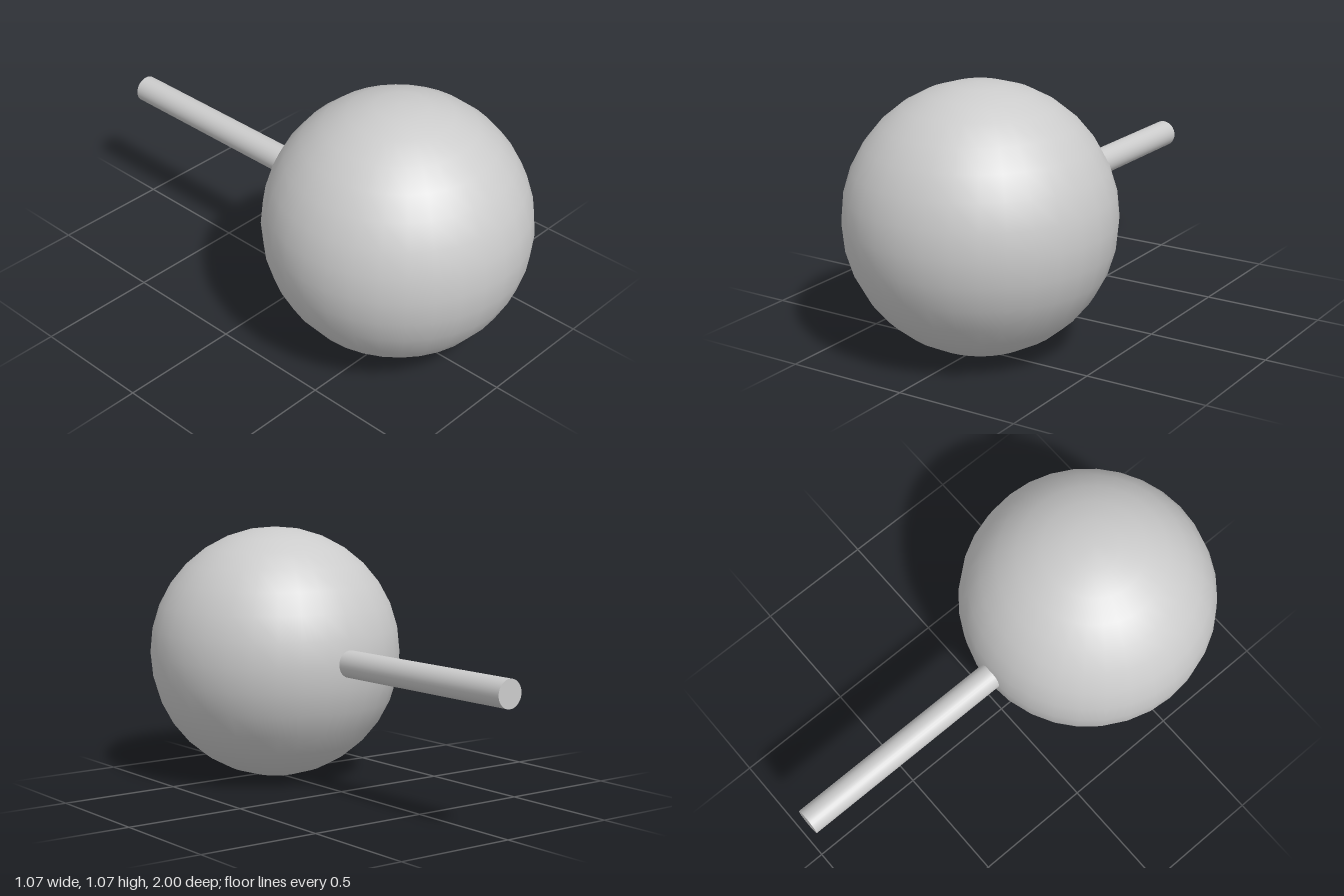
import * as THREE from 'three';

export function createModel() {
  const group = new THREE.Group();
  const material = new THREE.MeshStandardMaterial({ color: 0xcccccc });

  // Round head
  const radius = 0.533, headZ = 0.466, centreY = 0.536;
  const head = new THREE.Mesh(new THREE.SphereGeometry(radius, 32, 16), material);
  head.name = 'head';
  head.position.set(0, centreY, headZ);
  group.add(head);

  // Straight stick, running back from inside the head to z = -1
  const start = 0, end = -1;
  const stickGeometry = new THREE.CylinderGeometry(0.056, 0.056, start - end, 32);
  stickGeometry.rotateX(Math.PI / 2);
  const stick = new THREE.Mesh(stickGeometry, material);
  stick.name = 'stick';
  stick.position.set(0, 0.54, (start + end) / 2);
  group.add(stick);

  return group;
}
